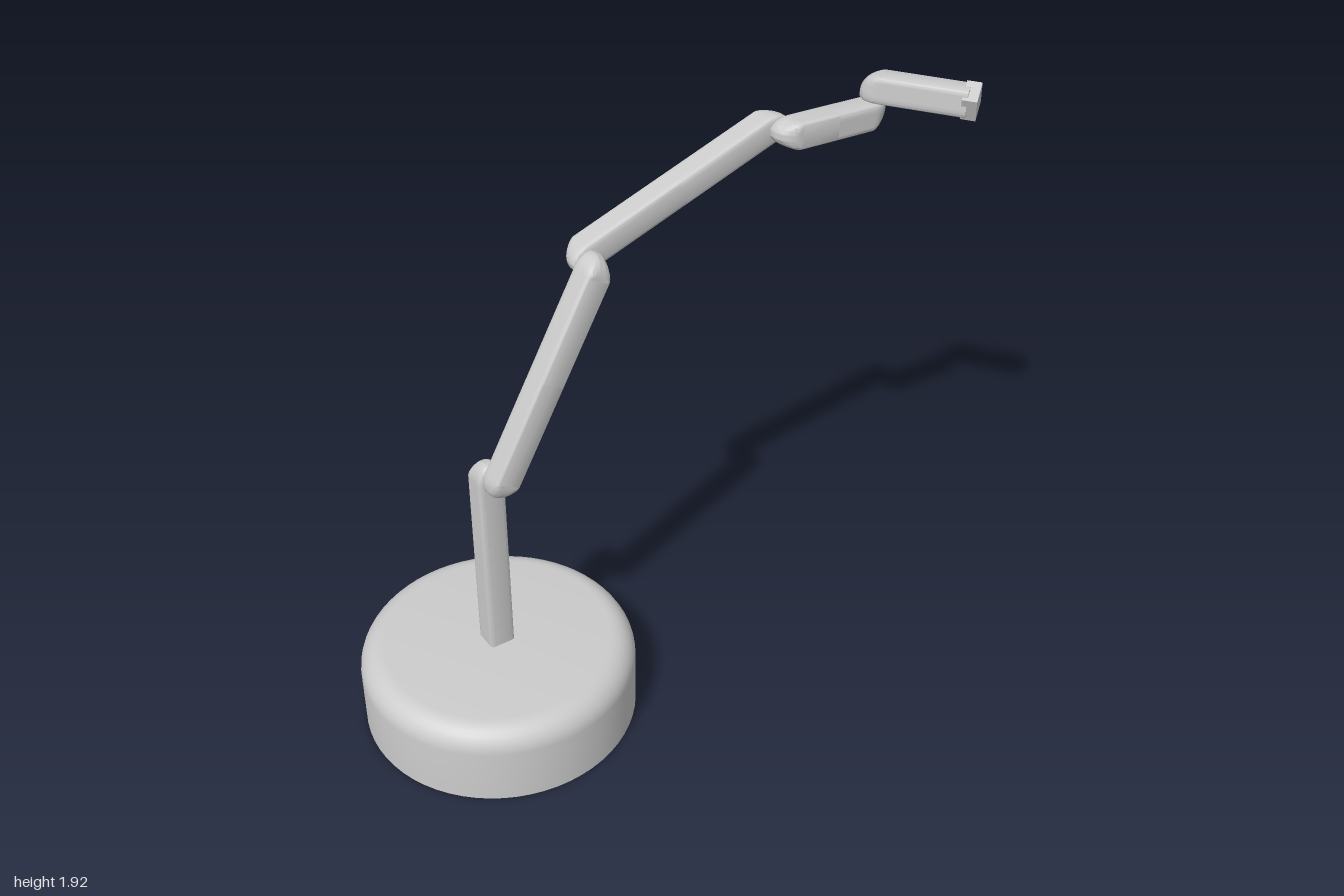
import * as THREE from 'three';
import { toCreasedNormals } from 'three/addons/utils/BufferGeometryUtils.js';

const material = new THREE.MeshStandardMaterial({ color: 0xcccccc });
const W = 0.085, H = W / 2;      // arm section and its half
const BEVEL = 0.012, ROUND = 0.06;
const v = (x, y, z) => new THREE.Vector3(x, y, z);

// Half an arm along +x: round in plan at its tip, softened on the outer (+z) side of the tip
function halfArmGeometry(length) {
  const layers = [{ z: -H, w: 0, e: 0 }];
  for (let i = 0; i <= 3; i++) {
    const a = i / 3 * Math.PI / 2, inset = BEVEL * (1 - Math.sin(a));
    layers.push({ z: -H + BEVEL * (1 - Math.cos(a)), w: H - inset, e: H - inset });
  }
  for (let i = 0; i <= 10; i++) {
    const a = i / 10 * Math.PI / 2;
    const z = H - ROUND + ROUND * Math.sin(a);
    const over = Math.min(1, Math.max(0, z - (H - BEVEL)) / BEVEL);
    layers.push({
      z,
      w: H - BEVEL * (1 - Math.sqrt(1 - over * over)),
      e: H - ROUND * (1 - Math.cos(a)),
    });
  }
  layers.push({ z: H, w: 0, e: H - ROUND });

  const N = 20, pos = [], index = [];
  for (const { z, w, e } of layers) {
    // the tip arc spans the last H of the length, so it can shrink inwards
    pos.push(0, -w, z);
    for (let i = 0; i <= N; i++) {
      const a = -Math.PI / 2 + i / N * Math.PI;
      const reach = w === 0 ? 0 : (e + BEVEL * 2) * Math.cos(a);
      pos.push(length - BEVEL * 2 + reach, w * Math.sin(a), z);
    }
    pos.push(0, w, z);
  }
  const n = N + 3;
  for (let k = 0; k < layers.length - 1; k++) {
    for (let i = 0; i < n; i++) {
      const a = k * n + i, b = k * n + (i + 1) % n;
      index.push(a, b, b + n, a, b + n, a + n);
    }
  }
  const g = new THREE.BufferGeometry();
  g.setAttribute('position', new THREE.Float32BufferAttribute(pos, 3));
  g.setIndex(index);
  return toCreasedNormals(g, 0.65);
}

// Half arm from a point to a joint, its softened side facing "outer"
function halfArm(name, from, joint, outer) {
  const x = joint.clone().sub(from), length = x.length();
  x.normalize();
  const y = outer.clone().cross(x).normalize();
  const z = x.clone().cross(y);
  const mesh = new THREE.Mesh(halfArmGeometry(length), material);
  mesh.name = name;
  mesh.quaternion.setFromRotationMatrix(new THREE.Matrix4().makeBasis(x, y, z));
  mesh.position.copy(from);
  return mesh;
}

// Full arm between two joints
function arm(name, a, b, outerA, outerB = outerA) {
  const group = new THREE.Group();
  group.name = name;
  const mid = a.clone().lerp(b, 0.5);
  group.add(halfArm(name + 'Start', mid, a, outerA), halfArm(name + 'End', mid, b, outerB));
  return group;
}

export function createModel() {
  const model = new THREE.Group();
  model.name = 'jointedArm';

  // Round base with a filleted top edge
  const R = 0.442, top = 0.268, fillet = 0.08;
  const profile = [new THREE.Vector2(0, 0), new THREE.Vector2(R, 0)];
  for (let i = 0; i <= 8; i++) {
    const a = i / 8 * Math.PI / 2;
    profile.push(new THREE.Vector2(R - fillet + fillet * Math.cos(a), top - fillet + fillet * Math.sin(a)));
  }
  profile.push(new THREE.Vector2(0, top));
  const base = new THREE.Mesh(toCreasedNormals(new THREE.LatheGeometry(profile, 64), 0.6), material);
  base.name = 'base';
  base.position.x = -0.558;
  model.add(base);

  // Arms alternate between the back plane and the front plane
  const front = v(0, 0, 1), back = v(0, 0, -1), Z = 0.087;
  const at = (x, y, z) => v(x, y, z);
  model.add(halfArm('post', at(-0.56, 0.25, 0), at(-0.56, 0.932, 0), back));
  model.add(arm('lowerArm', at(-0.56, 0.932, Z), at(-0.22, 1.56, Z), front));
  model.add(arm('upperArm', at(-0.22, 1.56, 0), at(0.445, 1.8, 0), back));

  // Wrist: its far joint turns about a near-vertical axis
  const up = v(0.04, 1, 0).normalize();
  const wristEnd = at(0.758, 1.788, Z);
  model.add(arm('wrist', at(0.445, 1.8, Z), wristEnd, front, up.clone().negate()));

  // Hand arm on top of the wrist, reaching forward and outward
  const handJoint = wristEnd.clone().addScaledVector(up, 0.086);
  const reach = v(0.62, -0.025, 0.78).normalize();
  model.add(halfArm('handArm', handJoint.clone().addScaledVector(reach, 0.28), handJoint, up));

  // Square head plate, rolled about the hand arm
  const head = new THREE.Mesh(new THREE.BoxGeometry(0.08, 0.08, 0.045), material);
  head.name = 'head';
  const side = up.clone().cross(reach).normalize();
  head.quaternion.setFromRotationMatrix(
    new THREE.Matrix4().makeBasis(side, reach.clone().cross(side), reach));
  head.rotateZ(THREE.MathUtils.degToRad(25));
  head.position.copy(handJoint).addScaledVector(reach, 0.287);
  model.add(head);

  return model;
}
